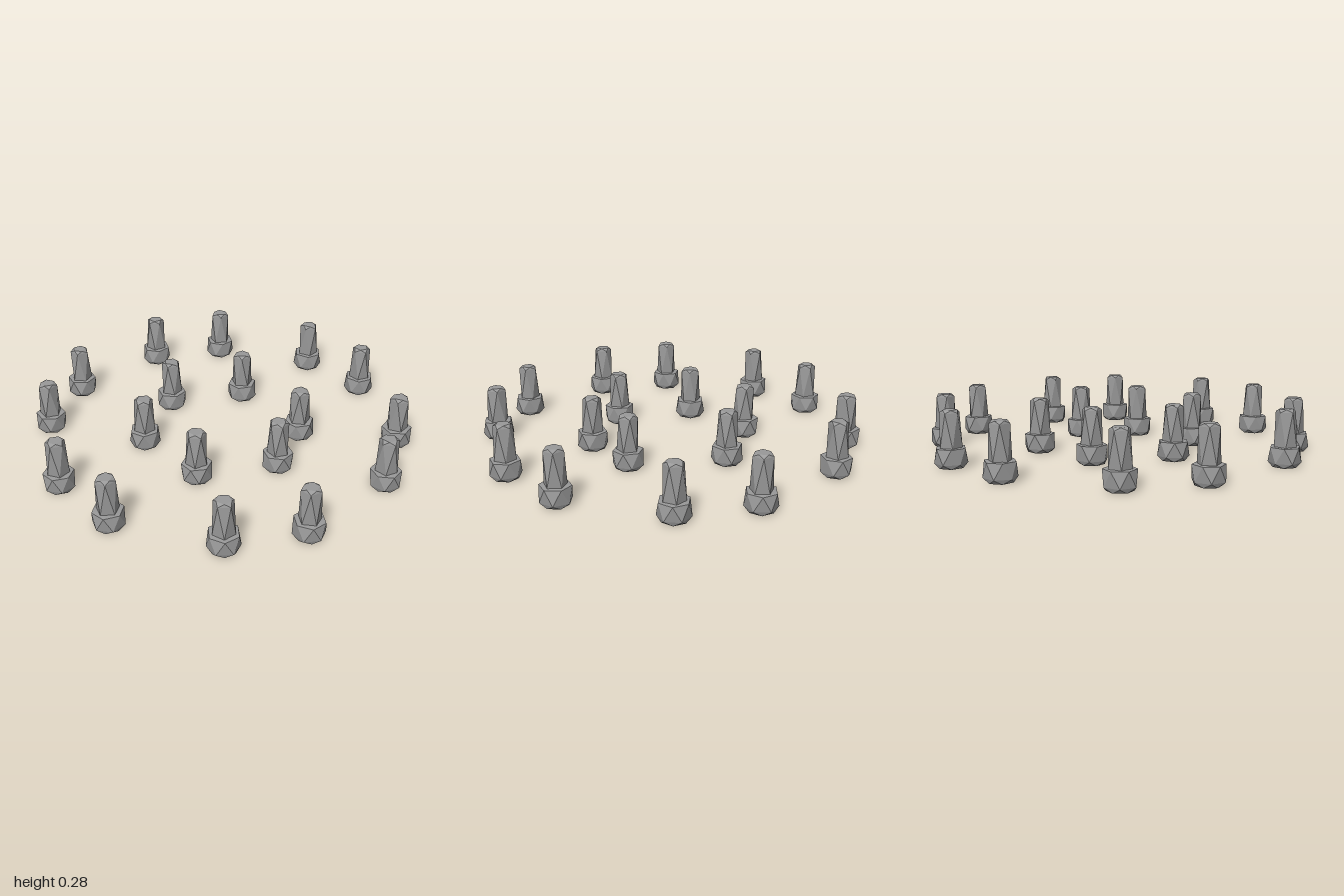
import * as THREE from 'three';

// Faceted loft through rings [radius, y, halfSteps]; each ring is turned by halfSteps of half a side
function loft(sides, rings) {
  const step = (Math.PI * 2) / sides;
  const point = ([r, y, turn], i) => {
    const a = (i + turn / 2) * step;
    return [r * Math.cos(a), y, r * Math.sin(a)];
  };
  const pos = [];
  for (let k = 0; k < rings.length - 1; k++) {
    const a = rings[k], b = rings[k + 1];
    for (let i = 0; i < sides; i++) {
      if (a[0] > 0) pos.push(...point(a, i), ...point(b, i), ...point(a, i + 1));
      if (b[0] > 0) pos.push(...point(a, i + 1), ...point(b, i), ...point(b, i + 1));
    }
  }
  const geo = new THREE.BufferGeometry();
  geo.setAttribute('position', new THREE.Float32BufferAttribute(pos, 3));
  geo.computeVertexNormals();
  return geo;
}

export function createModel() {
  const model = new THREE.Group();
  model.name = 'boltSet';
  const steel = new THREE.MeshStandardMaterial({ color: 0x999999, flatShading: true });
  steel.name = 'steel';

  // Head standing on its socket side: socket floor, socket wall, rim, chamfer, twisted side, shoulder
  const headGeo = loft(6, [
    [0, 0.06, 0], [0.037, 0.06, 0], [0.037, 0.008, 0], [0.062, 0.004, 0],
    [0.08, 0.026, 1], [0.077, 0.1, 2], [0.04, 0.102, 2],
  ]);
  // Shaft: twisted taper, chamfer and flat tip
  const shaftGeo = loft(5, [
    [0.056, 0.1, 0], [0.05, 0.268, 1], [0.036, 0.282, 2], [0, 0.282, 2],
  ]);

  // Outer circle of twelve in pairs, inner circle of six
  const spots = [];
  for (let i = 0; i < 6; i++) {
    spots.push([0.918, 5 + i * 60], [0.918, 30 + i * 60]);
  }
  for (const angle of [1, 47, 108, 168, 228, 287]) spots.push([0.41, angle]);

  spots.forEach(([radius, degrees], i) => {
    const a = THREE.MathUtils.degToRad(degrees);
    const bolt = new THREE.Group();
    bolt.name = 'bolt' + (i + 1);
    const head = new THREE.Mesh(headGeo, steel);
    head.name = 'socketHead';
    const shaft = new THREE.Mesh(shaftGeo, steel);
    shaft.name = 'shaft';
    shaft.rotation.y = i * 0.9;
    bolt.add(head, shaft);
    bolt.position.set(radius * Math.cos(a), 0, radius * Math.sin(a));
    bolt.rotation.y = -a + i * 0.37;
    model.add(bolt);
  });
  return model;
}
